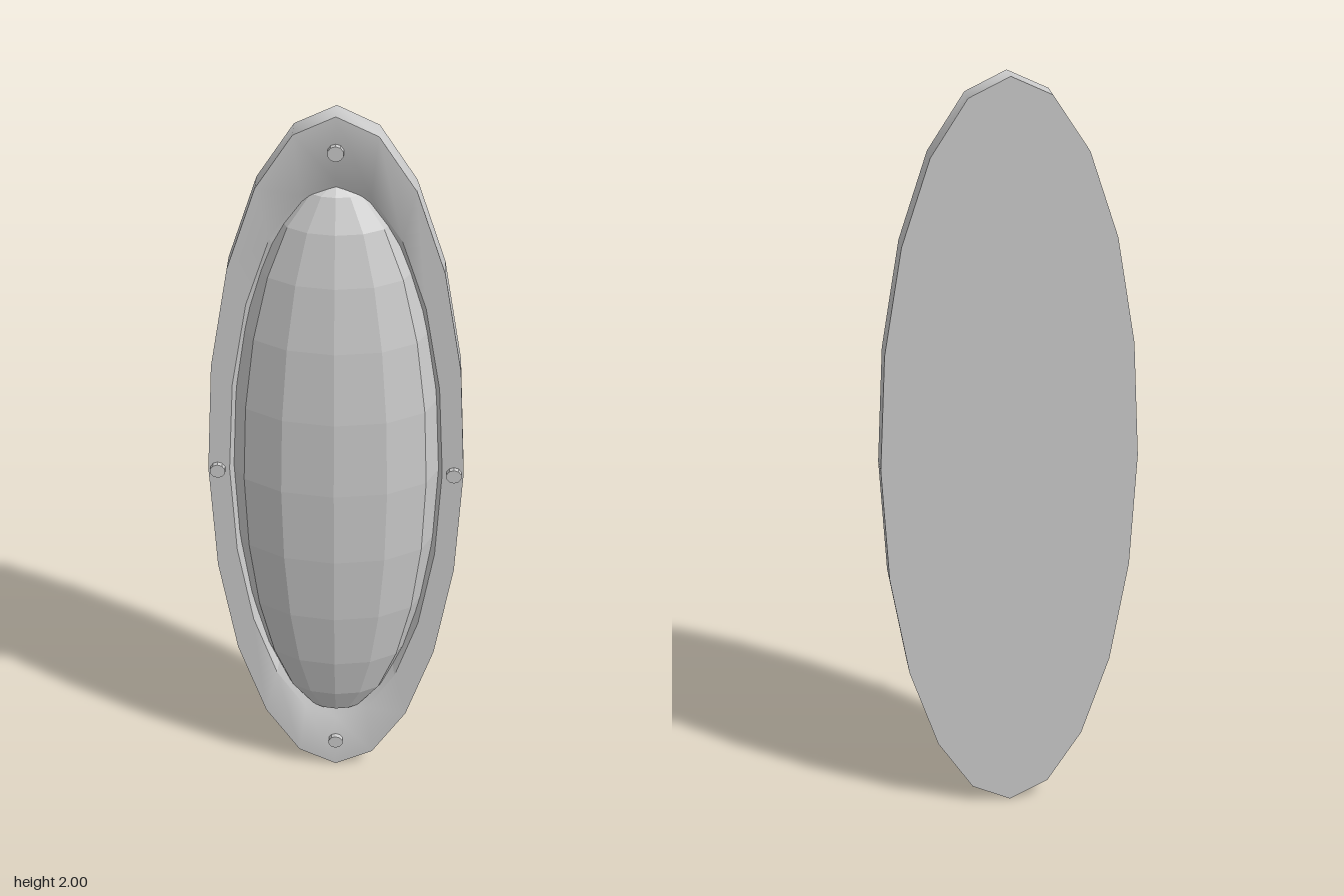
import * as THREE from 'three';
import { toCreasedNormals } from 'three/addons/utils/BufferGeometryUtils.js';

export function createModel() {
  const group = new THREE.Group();
  const smooth = new THREE.MeshStandardMaterial({ color: 0xcccccc });
  const faceted = new THREE.MeshStandardMaterial({ color: 0xcccccc, flatShading: true });

  const add = (name, geometry, material, x, y, z) => {
    const mesh = new THREE.Mesh(geometry, material);
    mesh.name = name;
    mesh.position.set(x, y, z);
    group.add(mesh);
  };

  // Oval base plate with a bevelled recess; the profile runs from back centre to recess floor
  const profile = [
    [0, -0.095], [1, -0.095], [1, -0.03], [0.833, -0.03], [0.785, -0.065], [0, -0.065],
  ].map(([r, h]) => new THREE.Vector2(r, h));
  const plate = new THREE.LatheGeometry(profile, 20);
  plate.rotateX(Math.PI / 2);
  plate.scale(0.33, 1, 1);
  add('basePlate', toCreasedNormals(plate, 1.0), smooth, 0, 1, 0);

  // Faceted lens: the front half of a stretched sphere
  const lens = new THREE.SphereGeometry(1, 6, 12, 0, Math.PI);
  lens.scale(0.27, 0.82, 0.152);
  add('lens', lens, faceted, 0, 1, -0.062);

  // Four screw heads on the rim
  const screw = new THREE.CylinderGeometry(0.02, 0.02, 0.02, 10);
  screw.rotateX(Math.PI / 2);
  for (const [x, y] of [[0, 1.91], [0, 0.09], [0.305, 1], [-0.305, 1]]) {
    add('screw', screw, faceted, x, y, -0.026);
  }

  return group;
}
